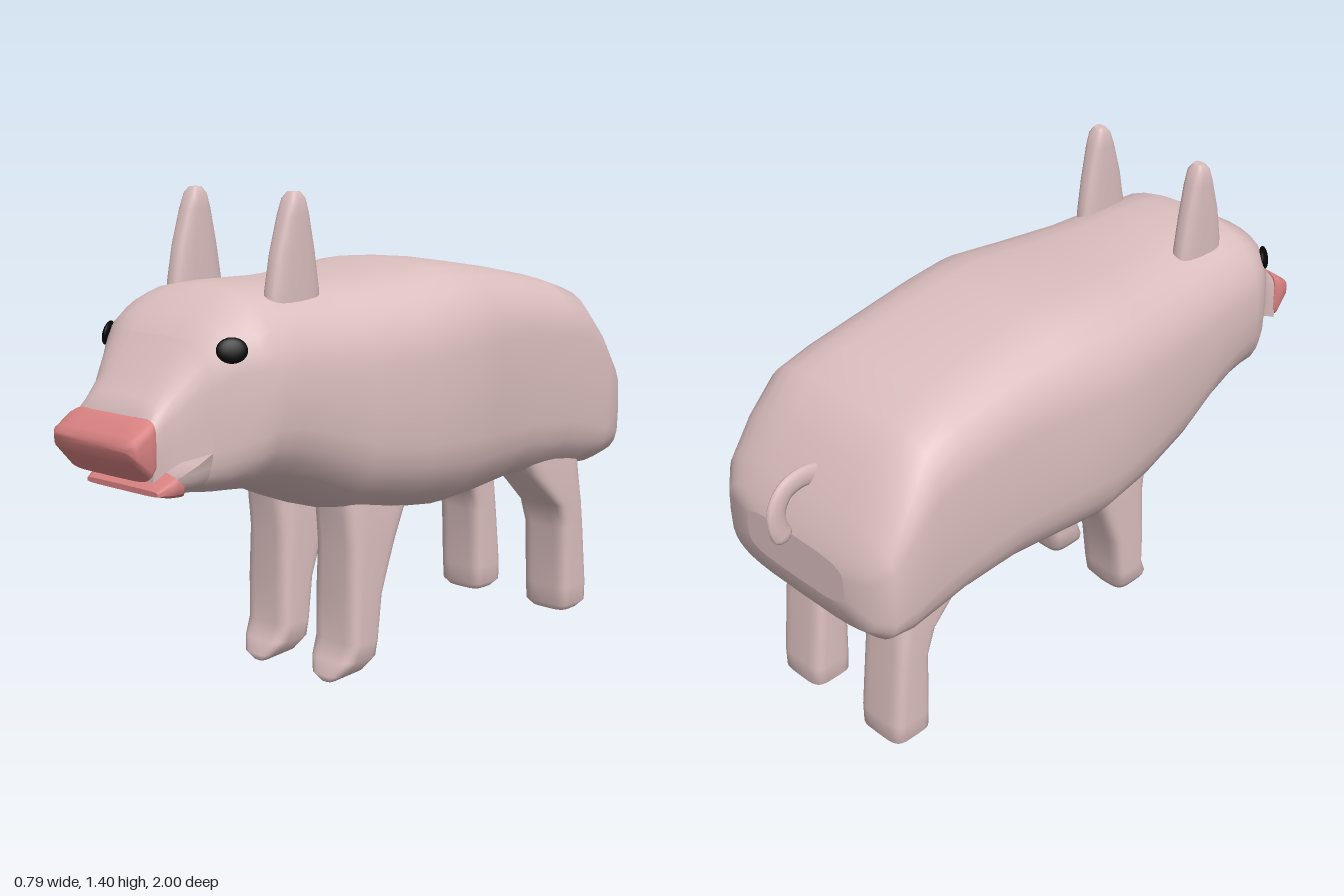
import * as THREE from 'three';
import { toCreasedNormals } from 'three/addons/utils/BufferGeometryUtils.js';

const SEG = 32;

// Half width of a rounded section at height y
function sectionX([, lo, hi, hw, n], y) {
  const t = Math.min(1, Math.abs((y - (lo + hi) / 2) / ((hi - lo) / 2)));
  return hw * Math.pow(1 - Math.pow(t, n), 1 / n);
}

// Loft along z through superellipse sections [z, low y, high y, half width, squareness, min y, max y]
function loft(stations) {
  const pos = [], idx = [];
  const rings = stations.map(([z, lo, hi, hw, n, min = -9, max = 9]) => {
    const ring = [];
    for (let j = 0; j < SEG; j++) {
      const a = (j / SEG) * Math.PI * 2, c = Math.cos(a), s = Math.sin(a);
      const x = hw * Math.sign(c) * Math.pow(Math.abs(c), 2 / n);
      const y = (lo + hi) / 2 + ((hi - lo) / 2) * Math.sign(s) * Math.pow(Math.abs(s), 2 / n);
      ring.push([x, Math.min(max, Math.max(min, y)), z]);
    }
    return ring;
  });
  rings.forEach((r) => r.forEach((p) => pos.push(...p)));
  for (let i = 0; i < rings.length - 1; i++) {
    for (let j = 0; j < SEG; j++) {
      const k = (j + 1) % SEG;
      const a = i * SEG + j, b = i * SEG + k, c = b + SEG, d = a + SEG;
      idx.push(a, b, d, b, c, d);
    }
  }
  // End caps with their own corners
  [rings[0], rings[rings.length - 1]].forEach((ring, end) => {
    const base = pos.length / 3;
    ring.forEach((p) => pos.push(...p));
    const midY = ring.reduce((sum, p) => sum + p[1], 0) / SEG;
    pos.push(0, midY, ring[0][2]);
    for (let j = 0; j < SEG; j++) {
      const a = base + j, b = base + ((j + 1) % SEG);
      if (end) idx.push(base + SEG, a, b);
      else idx.push(base + SEG, b, a);
    }
  });
  const geo = new THREE.BufferGeometry();
  geo.setAttribute('position', new THREE.Float32BufferAttribute(pos, 3));
  geo.setIndex(idx);
  geo.computeVertexNormals();
  return geo;
}

// Upright loft from rows [y, back z, front z, half width, squareness]
function uprightLoft(rows) {
  const geo = loft(rows.map(([y, z0, z1, hw, n]) => [y, -z1, -z0, hw, n]));
  return geo.rotateX(-Math.PI / 2);
}

export function createModel() {
  const group = new THREE.Group();
  const material = (name, color) => {
    const m = new THREE.MeshStandardMaterial({ color });
    m.name = name;
    return m;
  };
  const skin = material('pale pink skin', 0xdcbfbf);
  const rose = material('rose snout', 0xd98282);
  const black = material('black eye', 0x050505);

  const add = (name, geo, mat, x = 0, y = 0, z = 0) => {
    const mesh = new THREE.Mesh(geo, mat);
    mesh.name = name;
    mesh.position.set(x, y, z);
    group.add(mesh);
    return mesh;
  };

  // Body and back of the head
  const eyeSection = [0.735, 0.637, 1.1, 0.26, 3.5];
  const headEnd = [0.78, 0.642, 1.05, 0.22, 3.6];
  add('body', loft([
    [-0.925, 0.6, 0.74, 0.2, 4],
    [-0.908, 0.53, 0.79, 0.3, 4],
    [-0.87, 0.492, 0.86, 0.342, 4],
    [-0.8, 0.475, 0.97, 0.352, 4],
    [-0.71, 0.475, 1.075, 0.352, 4],
    [-0.6, 0.485, 1.11, 0.352, 3.8],
    [-0.4, 0.485, 1.15, 0.355, 3.6],
    [-0.22, 0.465, 1.18, 0.375, 3.3],
    [-0.08, 0.46, 1.187, 0.395, 3.2],
    [0.1, 0.48, 1.17, 0.38, 3.1],
    [0.3, 0.515, 1.162, 0.35, 2.9],
    [0.45, 0.58, 1.166, 0.332, 2.7],
    [0.55, 0.61, 1.168, 0.322, 2.6],
    [0.625, 0.62, 1.165, 0.315, 2.6],
    [0.67, 0.63, 1.14, 0.302, 3],
    eyeSection,
    headEnd,
  ]), skin);

  // Jaws, parted by the open mouth
  const jaw = (rows) => toCreasedNormals(loft(rows), 0.9);
  add('upperJaw', jaw([
    [...headEnd, 0.765],
    [0.85, 0.645, 0.955, 0.172, 4, 0.745],
    [0.89, 0.645, 0.905, 0.162, 4.5, 0.725],
    [0.93, 0.645, 0.86, 0.162, 5, 0.705],
  ]), skin);
  add('lowerJaw', jaw([
    [...headEnd, -9, 0.767],
    [0.81, 0.643, 1.0, 0.195, 3.8, -9, 0.735],
    [0.845, 0.645, 0.955, 0.165, 4, -9, 0.705],
  ]), skin);

  // Rose snout and lower lip, each tapering to a front edge
  add('snout', jaw([
    [0.92, 0.71, 0.866, 0.163, 6],
    [0.94, 0.702, 0.858, 0.168, 6],
    [0.985, 0.755, 0.825, 0.163, 5],
    [1.0, 0.785, 0.808, 0.145, 5],
  ]), rose);
  add('lowerLip', jaw([
    [0.825, 0.642, 0.716, 0.158, 5],
    [0.86, 0.646, 0.702, 0.158, 5],
    [0.9, 0.657, 0.672, 0.14, 5],
  ]), rose);

  // Ears, eyes and front legs in mirrored pairs
  const earGeo = uprightLoft([
    [1.11, 0.375, 0.558, 0.031, 3],
    [1.15, 0.375, 0.556, 0.032, 3],
    [1.25, 0.392, 0.535, 0.032, 3],
    [1.35, 0.415, 0.502, 0.031, 3],
    [1.39, 0.428, 0.485, 0.028, 3],
    [1.408, 0.442, 0.47, 0.016, 3],
  ]);
  const eyeGeo = new THREE.SphereGeometry(0.041, 20, 12).scale(1, 0.82, 0.3);
  const frontLegGeo = uprightLoft([
    [0.008, 0.25, 0.29, 0.02, 3],
    [0.03, 0.17, 0.302, 0.055, 4],
    [0.07, 0.14, 0.28, 0.082, 4],
    [0.12, 0.138, 0.255, 0.086, 4.5],
    [0.25, 0.12, 0.256, 0.086, 4.5],
    [0.4, 0.06, 0.252, 0.086, 4.5],
    [0.5, 0.01, 0.265, 0.086, 4.5],
    [0.58, -0.02, 0.27, 0.08, 4.5],
  ]);
  const eyeX = sectionX(eyeSection, 1.025);
  for (const [side, s] of [['left', 1], ['right', -1]]) {
    add(side + 'Ear', earGeo, skin, s * 0.19);
    const eye = add(side + 'Eye', eyeGeo, black, s * (eyeX + 0.003), 1.025, 0.733);
    eye.lookAt(eye.position.clone().add(new THREE.Vector3(s * 0.8, 0.25, 0.55)));
    add(side + 'FrontLeg', frontLegGeo, skin, s * 0.138);
  }

  // Hind legs, set slightly toward the left
  const hindLegGeo = uprightLoft([
    [0.02, -0.775, -0.675, 0.065, 4],
    [0.04, -0.797, -0.66, 0.083, 4.5],
    [0.1, -0.795, -0.658, 0.086, 4.5],
    [0.3, -0.77, -0.652, 0.086, 4.5],
    [0.38, -0.762, -0.62, 0.086, 4.5],
    [0.5, -0.748, -0.485, 0.086, 4.5],
    [0.57, -0.74, -0.46, 0.08, 4.5],
  ]);
  add('leftHindLeg', hindLegGeo, skin, 0.213);
  add('rightHindLeg', hindLegGeo, skin, -0.138);

  // Thin curled tail with a rounded tip
  const curl = [[0.89, -0.82], [0.9, -0.88], [0.885, -0.935], [0.835, -0.968], [0.78, -0.966], [0.757, -0.957]];
  const path = new THREE.CatmullRomCurve3(curl.map(([y, z]) => new THREE.Vector3(0, y, z)));
  add('tail', new THREE.TubeGeometry(path, 28, 0.031, 12).scale(0.43, 1, 1), skin);
  add('tailTip', new THREE.SphereGeometry(0.031, 14, 10).scale(0.43, 0.9, 1), skin, 0, 0.757, -0.957);

  return group;
}
